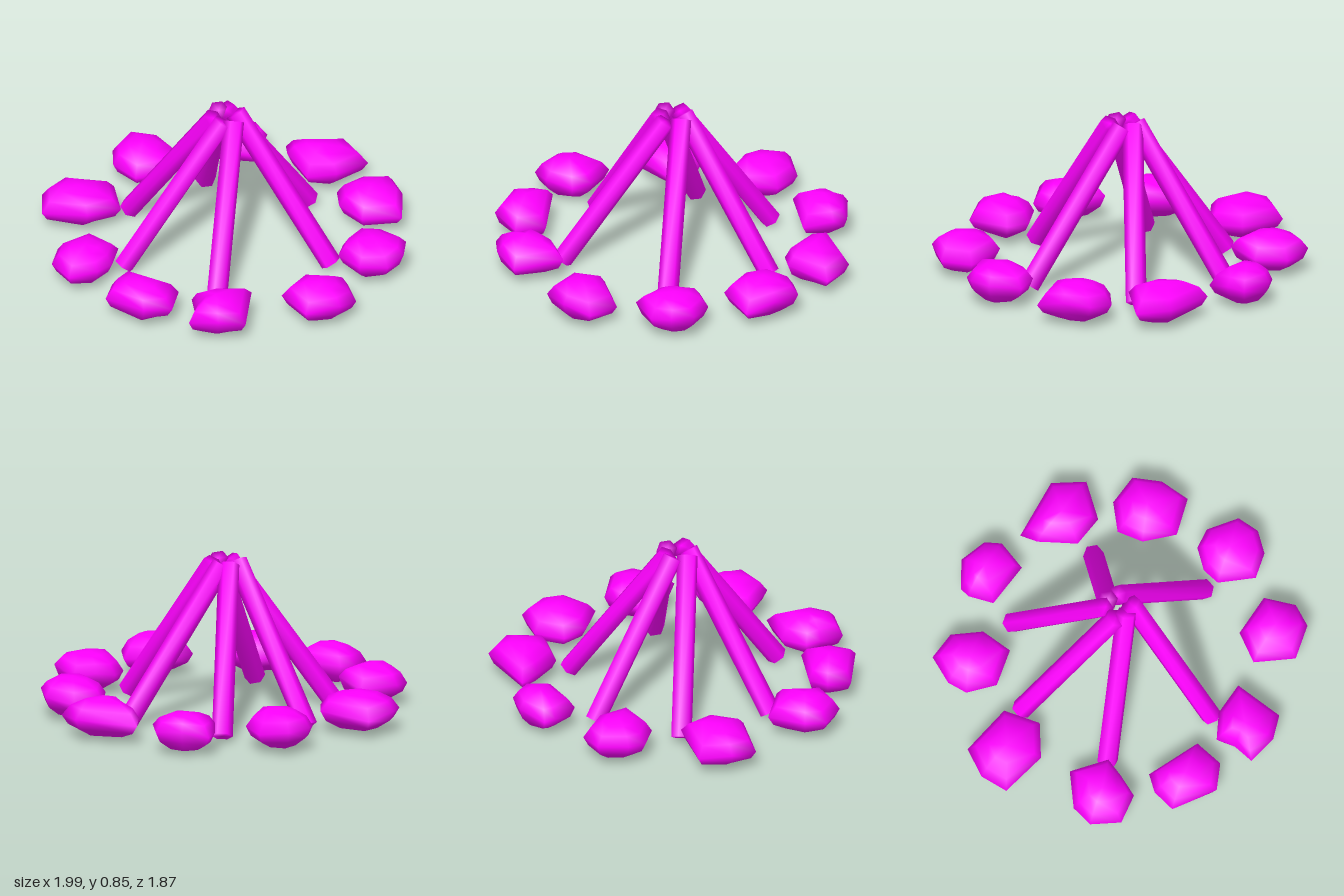
import * as THREE from 'three';
import { mergeVertices } from 'three/addons/utils/BufferGeometryUtils.js';

const material = new THREE.MeshStandardMaterial({ color: 0xff00ff });
const LOG_RADIUS = 0.055;

// Outline of each stone seen from above, as x, z pairs
const stones = [
  [-.39, -.81, -.29, -.92, -.13, -.92, -.07, -.85, -.07, -.69, -.32, -.63, -.39, -.75],
  [.04, -.83, .35, -.94, .5, -.83, .4, -.62, .24, -.6, .08, -.74],
  [.44, -.51, .53, -.65, .69, -.68, .79, -.56, .84, -.41, .66, -.29, .5, -.38],
  [.64, -.05, .69, -.16, .8, -.21, .96, -.14, .99, -.02, .94, .09, .81, .17, .65, .05],
  [.5, .51, .55, .34, .78, .27, .88, .41, .84, .55, .68, .64],
  [.07, .71, .18, .6, .35, .56, .41, .82, .29, .91, .13, .92, .12, .8],
  [-.37, .72, -.33, .63, -.02, .66, 0, .82, -.12, .93, -.36, .85],
  [-.75, .51, -.63, .34, -.44, .43, -.44, .53, -.47, .67, -.61, .73, -.74, .63],
  [-1, .06, -.95, -.11, -.67, -.14, -.57, .03, -.7, .19, -.95, .2],
  [-.79, -.45, -.76, -.61, -.6, -.65, -.46, -.55, -.43, -.37, -.6, -.28, -.75, -.35],
];

// Stone layers from bottom to top: height and share of the outline
const layers = [[0.03, 0.5], [0.075, 0.86], [0.13, 1], [0.18, 0.8], [0.212, 0.45]];

// Axis of each log: bottom x, z and top x, z
const logs = [
  [.28, -.52, -.02, -.06],
  [.595, .01, .04, -.05],
  [.157, .57, .06, .03],
  [-.42, .4, .01, .055],
  [-.575, -.115, -.05, .04],
  [-.295, -.515, -.05, -.04],
];

// Small seeded generator for uneven stone heights
function seeded(seed) {
  let s = seed * 7919 + 17;
  return () => (s = (s * 16807) % 2147483647) / 2147483647;
}

// Rounded pebble: the outline lofted through the layers and closed at both ends
function stoneGeometry(outline, seed) {
  const random = seeded(seed);
  const n = outline.length / 2;
  let cx = 0, cz = 0;
  for (let i = 0; i < n; i++) {
    cx += outline[2 * i] / n;
    cz += outline[2 * i + 1] / n;
  }
  const lift = Array.from({ length: n }, () => (random() - 0.5) * 0.05);
  const positions = [], index = [];
  layers.forEach(([y, share], k) => {
    const wobble = [0, 0.5, 1, 0.5, 0][k];
    for (let i = 0; i < n; i++) {
      positions.push(
        cx + (outline[2 * i] - cx) * share,
        y + lift[i] * wobble,
        cz + (outline[2 * i + 1] - cz) * share
      );
    }
  });
  const last = (layers.length - 1) * n;
  const bottom = positions.length / 3;
  positions.push(cx, 0.025, cz, cx, 0.225, cz);
  for (let i = 0; i < n; i++) {
    const j = (i + 1) % n;
    for (let k = 0; k < last; k += n) {
      index.push(k + i, k + n + j, k + n + i, k + i, k + j, k + n + j);
    }
    index.push(bottom, j, i, bottom + 1, last + i, last + j);
  }
  // Outlines run clockwise from above, so reverse each triangle to face outward
  for (let t = 0; t < index.length; t += 3) {
    [index[t + 1], index[t + 2]] = [index[t + 2], index[t + 1]];
  }
  const geometry = new THREE.BufferGeometry();
  geometry.setAttribute('position', new THREE.Float32BufferAttribute(positions, 3));
  const flip = signedVolume(positions, index) < 0;
  if (flip) index.reverse();
  geometry.setIndex(index);
  geometry.computeVertexNormals();
  return geometry;
}

// Positive when the triangles face outward
function signedVolume(p, index) {
  const at = (i) => new THREE.Vector3().fromArray(p, 3 * i);
  let volume = 0;
  for (let t = 0; t < index.length; t += 3) {
    volume += at(index[t]).dot(at(index[t + 1]).cross(at(index[t + 2])));
  }
  return volume;
}

// Softly shaded six-sided log between two points
function logMesh([bx, bz, tx, tz]) {
  const bottom = new THREE.Vector3(bx, 0.033, bz);
  const top = new THREE.Vector3(tx, 0.82, tz);
  const axis = top.clone().sub(bottom);
  let geometry = new THREE.CylinderGeometry(LOG_RADIUS, LOG_RADIUS, axis.length(), 6);
  geometry.deleteAttribute('uv');
  geometry.deleteAttribute('normal');
  geometry = mergeVertices(geometry);
  geometry.computeVertexNormals();
  const mesh = new THREE.Mesh(geometry, material);
  mesh.position.copy(bottom).add(top).multiplyScalar(0.5);
  mesh.quaternion.setFromUnitVectors(new THREE.Vector3(0, 1, 0), axis.normalize());
  return mesh;
}

export function createModel() {
  const model = new THREE.Group();
  model.name = 'campfire';

  // Ring of stones
  const ring = new THREE.Group();
  ring.name = 'stoneRing';
  stones.forEach((outline, i) => {
    const stone = new THREE.Mesh(stoneGeometry(outline, i + 1), material);
    stone.name = `stone${i + 1}`;
    ring.add(stone);
  });

  // Leaning logs
  const pile = new THREE.Group();
  pile.name = 'logPile';
  logs.forEach((ends, i) => {
    const log = logMesh(ends);
    log.name = `log${i + 1}`;
    pile.add(log);
  });

  model.add(ring, pile);
  return model;
}
